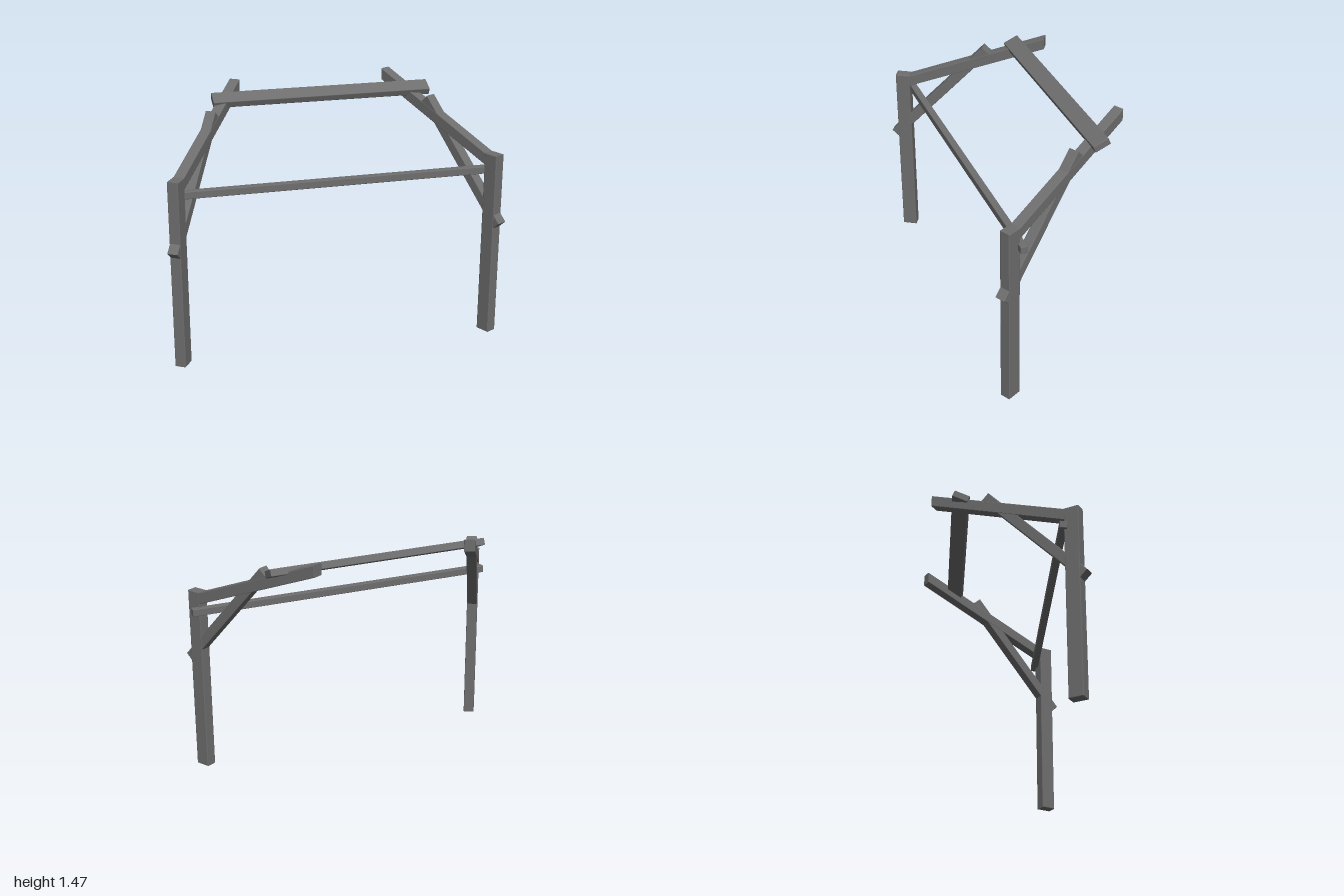
import * as THREE from 'three';
import { RoundedBoxGeometry } from 'three/addons/geometries/RoundedBoxGeometry.js';

const BEVEL = 0.004;
const material = new THREE.MeshStandardMaterial({ color: 0x6e6e6e, flatShading: true });

// Timber cut from a side outline (u along the frame, y up), with softened edges
function timber(name, outline, width) {
  const shape = new THREE.Shape(outline.map(([u, y]) => new THREE.Vector2(u, y)));
  const geometry = new THREE.ExtrudeGeometry(shape, {
    depth: width - 2 * BEVEL,
    bevelEnabled: true,
    bevelSize: BEVEL,
    bevelThickness: BEVEL,
    bevelOffset: -BEVEL,
    bevelSegments: 2,
  });
  geometry.translate(0, 0, BEVEL - width / 2);
  const mesh = new THREE.Mesh(geometry, material);
  mesh.name = name;
  return mesh;
}

// Horizontal timber running along x
function crossTimber(name, size, position) {
  const mesh = new THREE.Mesh(new RoundedBoxGeometry(...size, 2, BEVEL), material);
  mesh.name = name;
  mesh.position.set(...position);
  return mesh;
}

// Post, sloping rafter and diagonal brace, all in one upright plane
function sideFrame(name, x, z, yaw, reach) {
  const frame = new THREE.Group();
  frame.name = name;
  frame.add(
    timber('post', [[-0.044, 0], [0.044, 0], [0.044, 1.13], [-0.044, 1.13]], 0.066),
    timber('rafter', [[0, 1.042], [reach, 1.397], [reach, 1.467], [0, 1.112]], 0.064),
    timber('brace', [[-0.042, 0.68], [0.564, 1.334], [0.52, 1.374], [-0.086, 0.721]], 0.062),
  );
  frame.position.set(x, 0, z);
  frame.rotation.y = THREE.MathUtils.degToRad(yaw);
  return frame;
}

export function createModel() {
  const model = new THREE.Group();
  model.name = 'timberFrame';

  // The two frames lean inwards toward the back at slightly different angles
  model.add(sideFrame('rightFrame', -0.93, 0.364, 58.05, 0.902));
  model.add(sideFrame('leftFrame', 0.932, 0.364, 117.85, 0.914));

  // Rail behind the posts
  model.add(crossTimber('rail', [1.945, 0.044, 0.042], [0.016, 1.018, 0.305]));

  // Plank laid across the rafters, following their slope
  const plank = crossTimber('ridgePlank', [1.335, 0.042, 0.097], [0.051, 1.385, -0.248]);
  plank.rotation.set(0.4, 0, -0.004);
  model.add(plank);

  return model;
}
